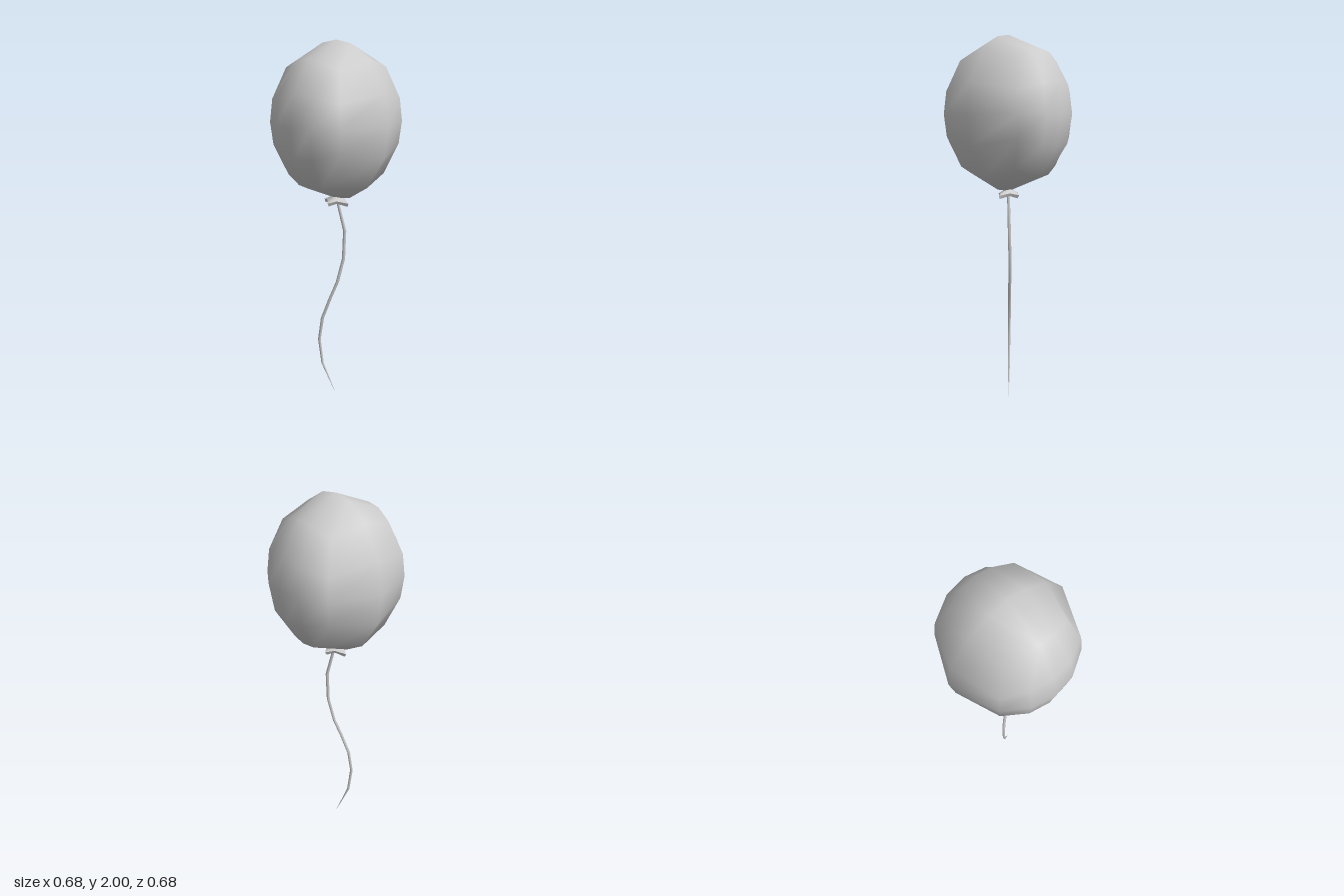
import * as THREE from 'three';
import { mergeVertices, toCreasedNormals } from 'three/addons/utils/BufferGeometryUtils.js';

const grey = () => new THREE.MeshStandardMaterial({ color: 0xcccccc });

function addPart(group, name, geometry) {
  const mesh = new THREE.Mesh(geometry, grey());
  mesh.name = name;
  group.add(mesh);
}

// Skin a stack of closed rings, listed from bottom to top
function loft(rings) {
  const n = rings[0].length;
  const index = [];
  for (let i = 0; i < rings.length - 1; i++) {
    for (let j = 0; j < n; j++) {
      const a = i * n + j, b = i * n + (j + 1) % n;
      index.push(a, a + n, b, b, a + n, b + n);
    }
  }
  const geometry = new THREE.BufferGeometry();
  geometry.setAttribute('position', new THREE.Float32BufferAttribute(rings.flat(2), 3));
  geometry.setIndex(index);
  geometry.computeVertexNormals();
  return geometry;
}

// Balloon: a 2 x 4 x 4 box grid pushed out onto an ellipsoid
function balloonGeometry() {
  const box = new THREE.BoxGeometry(2, 2, 2, 2, 4, 4);
  box.deleteAttribute('uv');
  box.deleteAttribute('normal');
  const geometry = mergeVertices(box);
  const pos = geometry.attributes.position;
  const v = new THREE.Vector3();
  const ease = (t) => (Math.abs(t) > 0.9 ? t : t * 0.74);
  for (let i = 0; i < pos.count; i++) {
    v.fromBufferAttribute(pos, i);
    const y = Math.abs(v.y) > 0.9 ? v.y * 1.28 : v.y * 0.85;
    v.set(ease(v.x), y, ease(v.z)).normalize();
    pos.setXYZ(i, v.x * 0.342, 1.592 + v.y * 0.408, v.z * 0.342);
  }
  geometry.computeVertexNormals();
  return geometry;
}

// Knot: a small flared skirt with four drooping tips
function knotGeometry() {
  const ring = (tipX, tipZ, tipY, valley, valleyY) =>
    Array.from({ length: 8 }, (_, j) => {
      const a = (j * Math.PI) / 4;
      const tip = j % 2 === 0;
      const rx = tip ? tipX : valley, rz = tip ? tipZ : valley;
      return [Math.cos(a) * rx, tip ? tipY : valleyY, Math.sin(a) * rz];
    });
  return toCreasedNormals(loft([
    ring(0, 0, 1.172, 0, 1.172),
    ring(0.06, 0.078, 1.148, 0.04, 1.162),
    ring(0.07, 0.086, 1.166, 0.046, 1.176),
    ring(0.03, 0.034, 1.19, 0.028, 1.19),
    ring(0.02, 0.02, 1.205, 0.02, 1.205),
  ]), 0.6);
}

// String: a thin wavy strand tapering to a point; each row is x, y, z, radius
function stringGeometry() {
  const path = [
    [0, 0, 0, 0],
    [-0.047, 0.2, -0.064, 0.007],
    [-0.057, 0.35, -0.079, 0.008],
    [-0.045, 0.48, -0.066, 0.009],
    [-0.018, 0.6, -0.032, 0.009],
    [0.008, 0.7, 0, 0.009],
    [0.029, 0.84, 0.027, 0.009],
    [0.03, 1.0, 0.034, 0.009],
    [0.004, 1.16, 0.007, 0.008],
    [0, 1.19, 0, 0.008],
  ];
  return loft(path.map(([x, y, z, r]) =>
    Array.from({ length: 6 }, (_, j) => {
      const a = (j * Math.PI) / 3;
      return [x + Math.cos(a) * r, y, z + Math.sin(a) * r];
    })));
}

export function createModel() {
  const group = new THREE.Group();
  group.name = 'balloonOnString';
  addPart(group, 'balloon', balloonGeometry());
  addPart(group, 'knot', knotGeometry());
  addPart(group, 'string', stringGeometry());
  return group;
}
